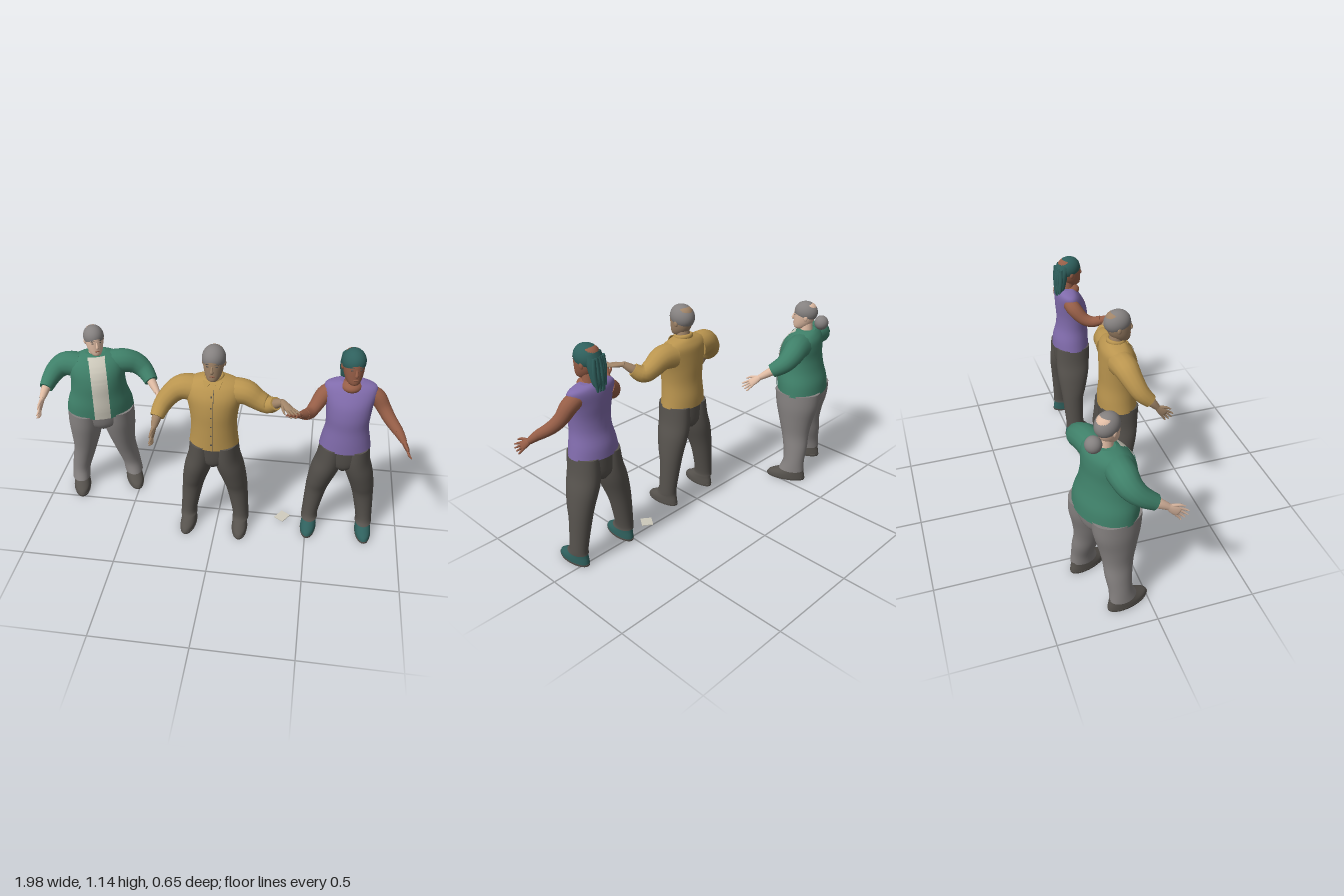
import * as THREE from 'three';

const mat = (name, color) => Object.assign(new THREE.MeshStandardMaterial({ color }), { name });
const M = {
  green: mat('green', 0x3f8069), cream: mat('cream', 0xcfcbbd), grey: mat('grey', 0x858180),
  dark: mat('charcoal', 0x56524d), yellow: mat('mustard', 0xba954f), purple: mat('purple', 0x806bab),
  pale: mat('pale skin', 0xe0bca4), tan: mat('tan skin', 0xa08468), brown: mat('brown skin', 0x965e47),
  teal: mat('teal', 0x2f605d),
};
// open strips and thin plates
for (const k of ['cream', 'green', 'dark', 'yellow']) M[k].side = THREE.DoubleSide;

function add(parent, name, geo, material, p = [0, 0, 0], s = [1, 1, 1], r = [0, 0, 0]) {
  const m = new THREE.Mesh(geo, material);
  m.name = name;
  m.position.set(...p);
  m.scale.set(...s);
  m.rotation.set(...r);
  parent.add(m);
}

// Catmull-Rom through rows of numbers
function smooth(rows, k = 4) {
  const out = [];
  for (let i = 0; i < rows.length - 1; i++) {
    const a = rows[Math.max(i - 1, 0)], b = rows[i], c = rows[i + 1], d = rows[Math.min(i + 2, rows.length - 1)];
    for (let q = 0; q < k; q++) {
      const t = q / k;
      out.push(b.map((v, j) => {
        const cubic = 3 * (v - c[j]) + d[j] - a[j];
        const square = 2 * a[j] - 5 * v + 4 * c[j] - d[j];
        return v + 0.5 * t * (c[j] - a[j] + t * (square + t * cubic));
      }));
    }
  }
  return [...out, rows.at(-1)];
}

// closed surface through rings of points, with flat caps
function surface(rings) {
  const n = rings[0].length, last = rings.length - 1, idx = [];
  const pts = rings.flat();
  for (let i = 0; i < last; i++) for (let j = 0; j < n; j++) {
    const a = i * n + j, b = i * n + (j + 1) % n;
    idx.push(a, b, b + n, a, b + n, a + n);
  }
  for (const [ring, top] of [[rings[0], false], [rings[last], true]]) {
    const s = pts.length;
    pts.push(...ring, ring.reduce((c, p) => c.add(p), new THREE.Vector3()).divideScalar(n));
    for (let j = 0; j < n; j++) {
      const k = (j + 1) % n;
      idx.push(s + n, s + (top ? j : k), s + (top ? k : j));
    }
  }
  const g = new THREE.BufferGeometry().setFromPoints(pts);
  g.setIndex(idx);
  g.computeVertexNormals();
  return g;
}

// stack of level ellipses: rows of [y, x, z, rx, rz]
function loft(rows, n = 28) {
  return surface(smooth(rows).map(([y, x, z, rx, rz]) => Array.from({ length: n }, (_, j) => {
    const a = j / n * Math.PI * 2;
    return new THREE.Vector3(x + rx * Math.sin(a), y, z + rz * Math.cos(a));
  })));
}

// tube along points [x, y, z, r, thickness]; ref is the thickness direction
function limb(pts, ref = [0, 0, 1], n = 14) {
  const rows = smooth(pts), P = rows.map(r => new THREE.Vector3(r[0], r[1], r[2]));
  let v = new THREE.Vector3(...ref);
  return surface(rows.map((r, i) => {
    const t = P[Math.min(i + 1, P.length - 1)].clone().sub(P[Math.max(i - 1, 0)]).normalize();
    const u = t.clone().cross(v).normalize();
    v = u.clone().cross(t);
    return Array.from({ length: n }, (_, j) => {
      const a = j / n * Math.PI * 2;
      return P[i].clone().addScaledVector(u, r[3] * Math.sin(a)).addScaledVector(v, (r[4] ?? r[3]) * Math.cos(a));
    });
  }));
}

// open strip lying on the front of a lofted torso
function frontStrip(rows, x0, x1, yMin, yMax, lift) {
  const g = new THREE.PlaneGeometry(1, 1, 8, 40), p = g.attributes.position, fine = smooth(rows, 12);
  for (let i = 0; i < p.count; i++) {
    const x = x0 + (x1 - x0) * (p.getX(i) + 0.5), y = yMin + (yMax - yMin) * (p.getY(i) + 0.5);
    const r = fine.reduce((b, q) => Math.abs(q[0] - y) < Math.abs(b[0] - y) ? q : b);
    p.setXYZ(i, x, y, r[2] + r[4] * Math.sqrt(Math.max(0, 1 - (x / r[3]) ** 2)) + lift);
  }
  g.computeVertexNormals();
  return g;
}

function hand(parent, wrist, tip, normal, thumb, skin) {
  const g = new THREE.Group(); g.name = 'hand'; parent.add(g);
  const w = new THREE.Vector3(...wrist), d = new THREE.Vector3(...tip).sub(w);
  const s = d.clone().cross(new THREE.Vector3(...normal)).normalize();
  const n = s.clone().cross(d).normalize(), na = n.toArray();
  const at = (f, side, out = 0) => w.clone().addScaledVector(d, f).addScaledVector(s, side).addScaledVector(n, out).toArray();
  add(g, 'palm', limb([[...at(-.05, 0), .014, .013], [...at(.25, 0), .021, .012], [...at(.5, 0), .022, .009], [...at(.58, 0), .017, .005]], na), skin);
  for (const k of [-1.5, -.5, .5, 1.5]) {
    const end = 1 - Math.abs(k - .3 * thumb) * .07;
    add(g, 'finger', limb([[...at(.45, k * .011), .006], [...at(.75, k * .015, .004), .0058], [...at(end, k * .018), .003]], na, 8), skin);
  }
  add(g, 'thumb', limb([[...at(.1, thumb * .01), .009], [...at(.38, thumb * .03), .007], [...at(.62, thumb * .038), .003]], na, 8), skin);
}

// sleeve or bare upper arm, then a forearm to the wrist and a hand
function arm(parent, name, upper, wrist, tip, normal, thumb, cloth, skin) {
  const g = new THREE.Group(); g.name = name; parent.add(g);
  add(g, 'upperArm', limb(upper), cloth);
  add(g, 'forearm', limb([[...upper.at(-2).slice(0, 3), .024], [...upper.at(-1).slice(0, 3), .025], [...wrist, .016]]), skin);
  hand(g, wrist, tip, normal, thumb, skin);
}

const ball = (w = 24, h = 16) => new THREE.SphereGeometry(1, w, h);

function head(parent, y, z, yaw, size, skin, hair) {
  add(parent, 'neck', new THREE.CylinderGeometry(.03, .042, .12, 20), skin, [0, y - .005, z - .012]);
  const g = new THREE.Group(); g.name = 'head'; parent.add(g);
  g.position.set(0, y, z); g.rotation.y = yaw; g.scale.setScalar(size);
  add(g, 'face', loft([[0, 0, .03, .016, .02], [.012, 0, .022, .032, .042], [.045, 0, .008, .046, .058], [.09, 0, 0, .053, .066], [.13, 0, -.004, .053, .065], [.158, 0, -.006, .036, .045], [.168, 0, -.006, .008, .01]]), skin);
  add(g, 'hair', new THREE.SphereGeometry(1, 28, 18, 0, Math.PI * 2, 0, 1.95), hair, [0, .108, -.006], [.059, .064, .071], [-.26, 0, 0]);
  add(g, 'nose', limb([[0, .094, .063, .004], [0, .075, .07, .007], [0, .064, .071, .009], [0, .058, .066, .006]]), skin);
  add(g, 'mouth', ball(12, 8), M.brown, [0, .038, .064], [.015, .004, .004]);
  for (const s of [-1, 1]) {
    add(g, 'eye', ball(12, 8), M.dark, [s * .022, .09, .059], [.007, .004, .003], [0, s * .35, 0]);
    add(g, 'eyebrow', ball(12, 8), M.dark, [s * .023, .103, .0595], [.012, .0022, .003], [0, s * .4, -s * .1]);
    add(g, 'ear', ball(12, 10), skin, [s * .053, .08, -.01], [.007, .018, .012]);
  }
  return g;
}

function lowerBody(parent, leg, hips, size, footX, trousers, shoe) {
  add(parent, 'hips', loft(hips), trousers);
  for (const s of [-1, 1]) {
    add(parent, 'trouserLeg', loft(leg.map(([y, x, ...r]) => [y, s * x, ...r])), trousers);
    const g = new THREE.Group(); g.name = 'shoe'; parent.add(g);
    g.position.x = s * footX; g.scale.set(size, 1, size); g.rotation.y = s * .06;
    add(g, 'sole', loft([[0, 0, .018, .042, .1], [.012, 0, .018, .044, .102]]), M.dark);
    add(g, 'shoeUpper', loft([[.011, 0, .018, .043, .1], [.03, 0, .014, .042, .094], [.05, 0, -.002, .039, .074], [.07, 0, -.018, .036, .055], [.09, 0, -.025, .03, .042]]), shoe);
  }
}

function person(root, name, x, z, yaw) {
  const g = new THREE.Group(); g.name = name; root.add(g);
  g.position.set(x, 0, z); g.rotation.y = yaw;
  return g;
}

const slimLeg = [[.065, .145, -.01, .045, .066], [.1, .144, -.021, .044, .054], [.25, .124, -.025, .056, .062], [.33, .109, -.018, .065, .077], [.42, .086, -.011, .074, .094], [.5, .067, -.005, .071, .099], [.59, .06, 0, .066, .1]];
const slimHips = [[.45, 0, -.005, .03, .07], [.49, 0, -.005, .1, .092], [.59, 0, 0, .126, .101]];

export function createModel() {
  const root = new THREE.Group(); root.name = 'threePeople';

  // man in a buttoned shirt
  const man = person(root, 'manInShirt', -.01, .12, 0);
  lowerBody(man, slimLeg, slimHips, 1, .143, M.dark, M.dark);
  const shirt = [[.583, 0, 0, .13, .104], [.64, 0, 0, .123, .104], [.72, 0, .004, .119, .1], [.8, 0, .004, .128, .1], [.87, 0, 0, .145, .094], [.92, 0, -.01, .147, .08], [.95, 0, -.015, .115, .06], [.968, 0, -.015, .05, .045]];
  add(man, 'shirt', loft(shirt), M.yellow);
  add(man, 'shirtOpeningLine', frontStrip(shirt, .008, .011, .585, .93, .002), M.dark);
  for (let y = .62; y < .92; y += .055) add(man, 'button', frontStrip(shirt, -.004, .004, y, y + .008, .003), M.dark);
  add(man, 'collar', new THREE.TorusGeometry(.042, .009, 10, 28), M.yellow, [0, .967, -.012], [1, 1, 1.5], [Math.PI / 2 + .15, 0, 0]);
  const pointShape = new THREE.Shape([[0, 0], [.045, .01], [.032, -.035]].map(p => new THREE.Vector2(...p)));
  const point = new THREE.ExtrudeGeometry(pointShape, { depth: .004, bevelEnabled: false });
  for (const s of [-1, 1]) add(man, 'collarPoint', point, M.yellow, [s * .004, .957, .042], [s, 1, 1], [-.75, 0, 0]);
  head(man, .965, 0, 0, 1, M.tan, M.grey);
  arm(root, 'manRightArm', [[-.1, .885, .105, .07], [-.17, .89, .11, .065], [-.225, .855, .125, .055], [-.27, .8, .155, .046], [-.29, .755, .2, .036]],
    [-.3, .715, .235], [-.312, .642, .305], [1, 0, .1], 1, M.yellow, M.tan);
  arm(root, 'manLeftArm', [[.08, .885, .105, .07], [.15, .885, .11, .064], [.21, .85, .115, .053], [.265, .83, .125, .045], [.305, .86, .155, .034]],
    [.34, .89, .185], [.415, .872, .285], [0, 1, .1], 1, M.yellow, M.tan);

  // woman in a sleeveless top
  const tall = person(root, 'womanInSleevelessTop', .665, .055, 0);
  lowerBody(tall, slimLeg.map(([y, x, ...r]) => [y, x * 1.03, ...r]), slimHips, 1, .15, M.dark, M.teal);
  const top = [[.583, 0, 0, .133, .106], [.64, 0, .002, .123, .103], [.71, 0, .01, .11, .092], [.78, 0, .013, .112, .09], [.85, 0, .004, .12, .086], [.91, 0, -.012, .132, .07], [.94, 0, -.02, .118, .055], [.957, 0, -.022, .06, .042]];
  add(tall, 'sleevelessTop', loft(top), M.purple);
  add(tall, 'neckline', ball(), M.brown, [0, .938, .004], [.052, .032, .055]);
  const tallHead = head(tall, .966, .002, .22, 1, M.brown, M.teal);
  add(tallHead, 'longHair', limb([[0, .13, -.035, .048, .035], [0, .09, -.05, .052, .034], [0, .04, -.058, .048, .03], [0, -.01, -.066, .04, .025], [-.004, -.04, -.07, .022, .012]]), M.teal);
  for (let i = -2; i <= 2; i++)
    add(tallHead, 'hairStrand', limb([[i * .017, .12, -.07, .009], [i * .019, .05, -.084 + Math.abs(i) * .006, .011], [i * .014, -.045, -.085 + Math.abs(i) * .004, .006]], [0, 0, 1], 8), M.teal);
  arm(root, 'tallWomanRightArm', [[.575, .895, .035, .042], [.535, .87, .05, .042], [.5, .825, .09, .035], [.475, .81, .135, .031], [.45, .825, .18, .027]],
    [.425, .848, .22], [.383, .885, .303], [0, 1, -.3], 1, M.brown, M.brown);
  arm(root, 'tallWomanLeftArm', [[.755, .895, .035, .042], [.8, .87, .037, .042], [.835, .82, .05, .036], [.87, .775, .082, .032], [.915, .735, .13, .026]],
    [.945, .7, .165], [.987, .645, .23], [-1, -.3, 0], -1, M.brown, M.brown);

  // older woman in an open cardigan
  const older = person(root, 'olderWoman', -.705, -.175, .35);
  const wideLeg = [[.06, .158, -.01, .052, .074], [.12, .15, -.02, .052, .062], [.2, .13, -.018, .06, .07], [.28, .112, -.008, .067, .08], [.37, .1, -.003, .083, .1], [.46, .093, -.003, .095, .122], [.545, .088, 0, .096, .13]];
  lowerBody(older, wideLeg, [[.43, 0, 0, .03, .08], [.47, 0, 0, .13, .118], [.545, 0, 0, .178, .131]], 1.13, .157, M.grey, M.dark);
  const cardigan = [[.535, 0, 0, .186, .138], [.6, 0, .006, .178, .137], [.67, 0, .015, .156, .126], [.74, 0, .02, .148, .118], [.8, 0, .014, .152, .108], [.845, 0, .004, .146, .09], [.875, 0, -.004, .11, .064], [.89, 0, -.006, .055, .045]];
  add(older, 'cardigan', loft(cardigan), M.green);
  add(older, 'shirtPanel', frontStrip(cardigan, -.047, .047, .536, .882, .003), M.cream);
  for (const s of [-1, 1]) add(older, 'cardiganEdge', frontStrip(cardigan, s * .05 - .006, s * .05 + .006, .536, .872, .006), M.green);
  const olderHead = head(older, .89, .012, .17, .92, M.pale, M.grey);
  add(olderHead, 'hairBun', ball(), M.grey, [0, .045, -.102], [.043, .044, .042]);
  arm(root, 'olderWomanLeftArm', [[-.63, .815, -.2, .07], [-.56, .82, -.22, .067], [-.5, .8, -.235, .06], [-.45, .765, -.225, .05], [-.405, .725, -.18, .038]],
    [-.362, .685, -.13], [-.305, .615, -.055], [-1, -.4, 0], -1, M.green, M.pale);
  arm(root, 'olderWomanRightArm', [[-.79, .815, -.145, .07], [-.86, .82, -.145, .067], [-.91, .795, -.13, .058], [-.94, .76, -.09, .048], [-.955, .725, -.03, .037]],
    [-.962, .69, .025], [-.97, .615, .115], [1, -.1, 0], 1, M.green, M.pale);

  // sheet of paper on the ground
  add(root, 'paper', new THREE.BoxGeometry(.06, .004, .068), M.cream, [.365, .015, .027], [1, 1, 1], [.06, -.6, .06]);
  return root;
}
